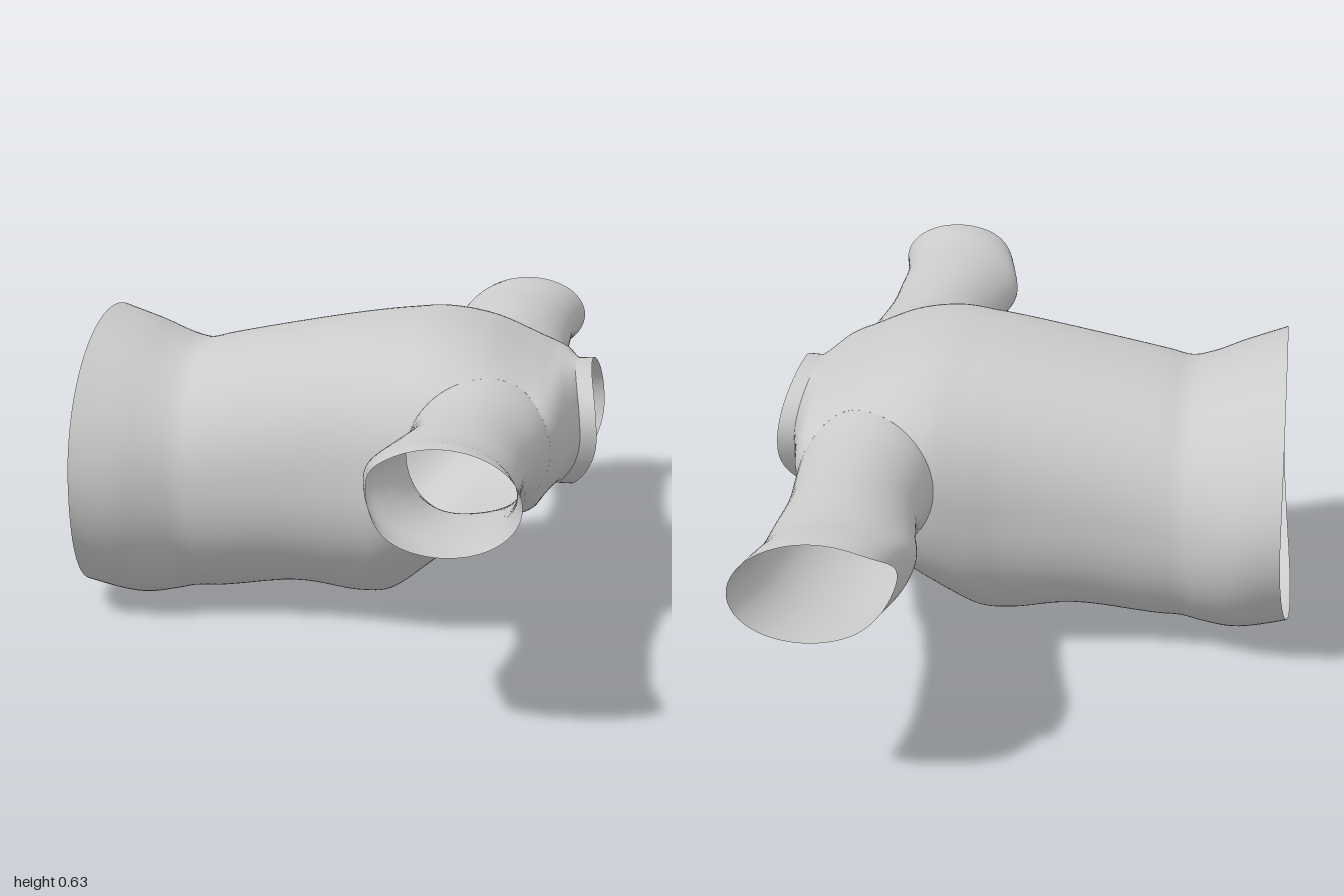
import * as THREE from 'three';

const material = new THREE.MeshStandardMaterial({ color: 0xcccccc, side: THREE.DoubleSide });

// Smooth interpolation through rows of [position, ...values]
function profile(rows) {
  const size = rows[0].length - 1;
  const curve = new THREE.CubicInterpolant(
    rows.map(r => r[0]), rows.flatMap(r => r.slice(1)), size, new Float32Array(size));
  return t => Array.from(curve.evaluate(t));
}

// Torso sections along x: [x, bottom, top, half width, roundness power]
const torsoAt = profile([
  [-0.518, 0.025, 0.62, 0.395, 2],
  [-0.43, 0.0, 0.59, 0.375, 2],
  [-0.36, 0.01, 0.56, 0.345, 2.1],
  [-0.315, 0.02, 0.55, 0.328, 2.15],
  [-0.27, 0.022, 0.56, 0.324, 2.2],
  [-0.1, 0.045, 0.592, 0.333, 2.3],
  [0.05, 0.05, 0.615, 0.36, 2.4],
  [0.12, 0.06, 0.622, 0.385, 2.4],
  [0.2, 0.112, 0.625, 0.41, 2.4],
  [0.3, 0.19, 0.605, 0.415, 2.4],
  [0.4, 0.235, 0.56, 0.405, 2.4],
  [0.44, 0.25, 0.545, 0.385, 2.3],
  [0.47, 0.26, 0.538, 0.32, 2.2],
  [0.49, 0.264, 0.533, 0.235, 2.1],
  [0.505, 0.265, 0.53, 0.17, 2],
]);

// Sleeve sections from armhole (0) to cuff (1): [t, x min, x max, y min, y max]
const sleeveAt = profile([
  [0, 0.175, 0.457, 0.275, 0.545],
  [0.15, 0.18, 0.446, 0.303, 0.535],
  [0.35, 0.18, 0.432, 0.325, 0.533],
  [0.6, 0.162, 0.43, 0.342, 0.538],
  [0.8, 0.147, 0.432, 0.352, 0.543],
  [0.92, 0.157, 0.442, 0.357, 0.552],
  [1, 0.165, 0.452, 0.36, 0.552],
]);
const armhole = { x: 0.316, y: 0.41, rx: 0.141, ry: 0.135 };

// Half width of the torso at a given x and y; egg shaped towards the neck
function halfWidth(x, y) {
  const [bottom, top, width, power] = torsoAt(x);
  const v = THREE.MathUtils.clamp((2 * y - bottom - top) / (top - bottom), -1, 1);
  const egg = 1 + 0.2 * v * THREE.MathUtils.smoothstep(x, 0.4, 0.505);
  return width * egg * Math.pow(1 - Math.pow(Math.abs(v), power), 1 / power);
}

// Closed-ring surface; point(u, angle) gives [x, y, z, cut], cut faces are left out
function loft(name, rows, cols, point) {
  const positions = [], cut = [], index = [];
  for (let i = 0; i <= rows; i++) {
    for (let j = 0; j < cols; j++) {
      const [x, y, z, c] = point(i / rows, (j / cols) * Math.PI * 2);
      positions.push(x, y, z);
      cut.push(c);
    }
  }
  const face = (...f) => { if (!f.every(k => cut[k])) index.push(...f); };
  for (let i = 0; i < rows; i++) {
    for (let j = 0; j < cols; j++) {
      const a = i * cols + j, b = i * cols + (j + 1) % cols;
      face(a, a + cols, b);
      face(b, a + cols, b + cols);
    }
  }
  const geometry = new THREE.BufferGeometry();
  geometry.setAttribute('position', new THREE.Float32BufferAttribute(positions, 3));
  geometry.setIndex(index);
  geometry.computeVertexNormals();
  const mesh = new THREE.Mesh(geometry, material);
  mesh.name = name;
  return mesh;
}

// Point on the torso skin, with curved hem and neck edges
function torsoSkin(station, angle) {
  const [bottom, top, , power] = torsoAt(station);
  const s = Math.sin(angle);
  const v = Math.sign(s) * Math.pow(Math.abs(s), 2 / power);
  const y = (bottom + top) / 2 + v * (top - bottom) / 2;
  const z = Math.sign(Math.cos(angle)) * halfWidth(station, y);
  const neck = THREE.MathUtils.smoothstep(station, 0.4, 0.505);
  const hem = 1 - THREE.MathUtils.smoothstep(station, -0.518, -0.4);
  const x = station - neck * v * v * (v > 0 ? 0.02 : 0.06) - (v < 0 ? hem * 0.028 * v * v : 0);
  return [x, y, z, v];
}

// Torso, with vertices inside an armhole pulled out to its rim
function torsoPoint(u, angle) {
  const station = THREE.MathUtils.lerp(-0.518, 0.505, 1 - Math.pow(1 - u, 1.5));
  const [x, y, z, v] = torsoSkin(station, angle);
  const dx = x - armhole.x, dy = y - armhole.y;
  const d = Math.hypot(dx / armhole.rx, dy / armhole.ry);
  if (d < 1) {
    const k = 1 / Math.max(d, 1e-4);
    const rx = armhole.x + dx * k, ry = armhole.y + dy * k;
    return [rx, ry, Math.sign(z) * halfWidth(rx, ry), true];
  }
  // soft chest fullness on the underside
  const chest = v < 0 ? 0.02 * v * v * Math.exp(-(((x - 0.07) / 0.1) ** 2) - (((Math.abs(z) - 0.18) / 0.09) ** 2)) : 0;
  return [x, y - chest, z, false];
}

// Sleeve, running from the armhole rim to a slanted, rounded cuff
function sleevePoint(side) {
  return (t, angle) => {
    const c = Math.cos(angle), s = -side * Math.sin(angle);
    const rootZ = halfWidth(armhole.x + armhole.rx * c, armhole.y + armhole.ry * s);
    const cuffZ = 1 - 0.015 * (1 - c) - 0.08 * Math.pow(Math.max(0, -c), 6);
    const [x0, x1, y0, y1] = sleeveAt(t);
    return [
      (x0 + x1) / 2 + c * (x1 - x0) / 2,
      (y0 + y1) / 2 + s * (y1 - y0) / 2,
      side * THREE.MathUtils.lerp(rootZ, cuffZ, t),
      false,
    ];
  };
}

// Collar band standing out from the neck edge
function collarPoint(u, angle) {
  const [x, y, z] = torsoSkin(0.505, angle);
  return [x - 0.004 + u * 0.038, y, z * (1 + 0.06 * u), false];
}

export function createModel() {
  const group = new THREE.Group();
  group.name = 'shirt';
  group.add(
    loft('torso', 110, 144, torsoPoint),
    loft('leftSleeve', 40, 72, sleevePoint(1)),
    loft('rightSleeve', 40, 72, sleevePoint(-1)),
    loft('collar', 3, 96, collarPoint),
  );
  return group;
}
